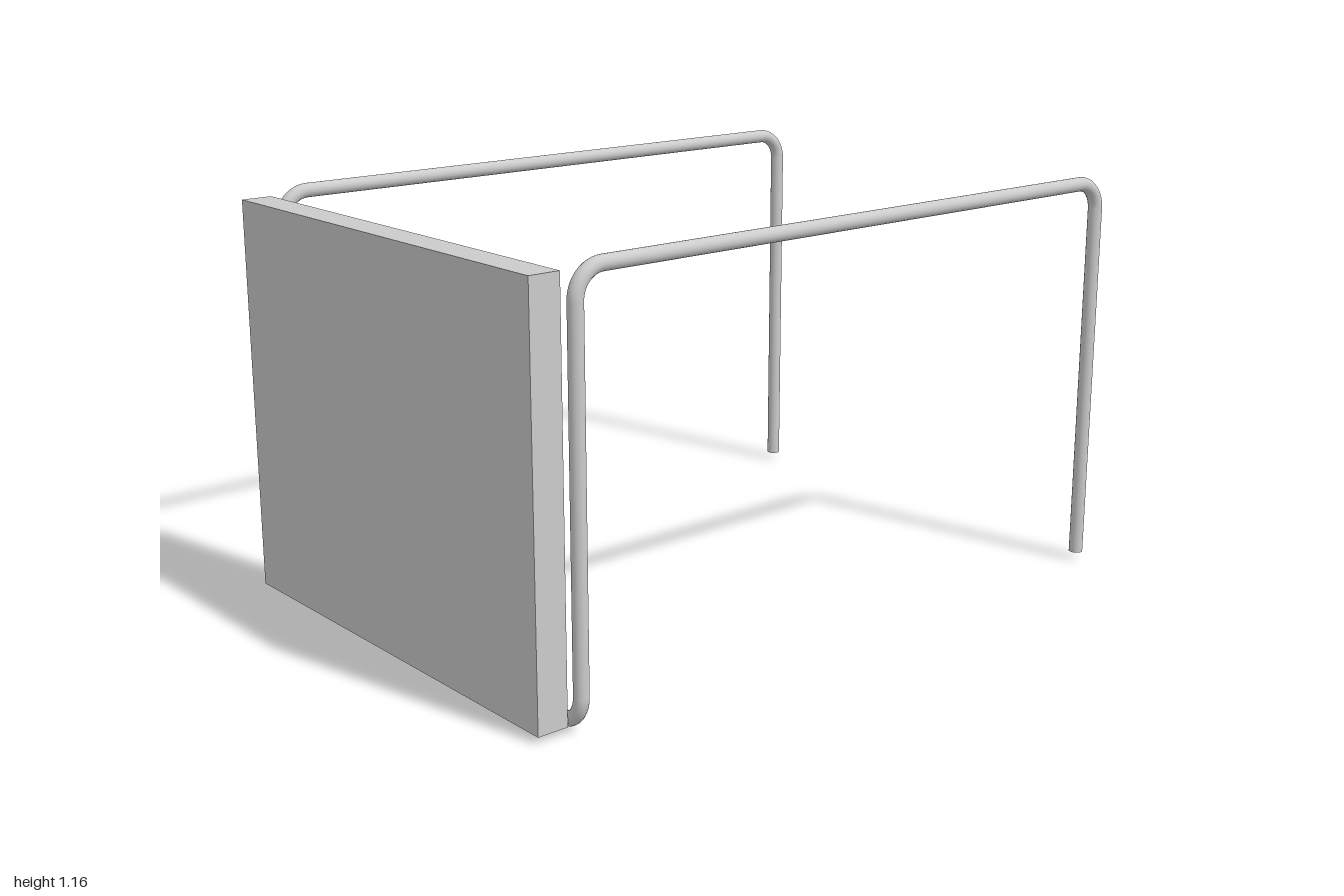
import * as THREE from 'three';
import { mergeGeometries } from 'three/addons/utils/BufferGeometryUtils.js';

const TUBE_R = 0.02, BEND_R = 0.078, SIDES = 24;

// Round rod through the corner points, with circular bends and flat end caps
function bentRod(points) {
  const parts = [];
  const sweep = (curve, segments) =>
    parts.push(new THREE.TubeGeometry(curve, segments, TUBE_R, SIDES, false));
  const cap = (at, direction) => {
    const disc = new THREE.CircleGeometry(TUBE_R, SIDES);
    disc.applyQuaternion(new THREE.Quaternion().setFromUnitVectors(new THREE.Vector3(0, 0, 1), direction));
    parts.push(disc.translate(at.x, at.y, at.z));
  };
  const toward = (a, b) => b.clone().sub(a).normalize();
  const last = points.length - 1;
  const k = BEND_R * (1 - 0.5523);

  let start = points[0];
  for (let i = 1; i < last; i++) {
    const p = points[i];
    const back = toward(p, points[i - 1]), ahead = toward(p, points[i + 1]);
    const a = p.clone().addScaledVector(back, BEND_R);
    const b = p.clone().addScaledVector(ahead, BEND_R);
    sweep(new THREE.LineCurve3(start, a), 1);
    sweep(new THREE.CubicBezierCurve3(a, p.clone().addScaledVector(back, k),
      p.clone().addScaledVector(ahead, k), b), 12);
    start = b;
  }
  sweep(new THREE.LineCurve3(start, points[last]), 1);
  cap(points[0], toward(points[1], points[0]));
  cap(points[last], toward(points[last - 1], points[last]));
  return mergeGeometries(parts);
}

export function createModel() {
  const model = new THREE.Group();
  model.name = 'panelStand';
  const material = new THREE.MeshStandardMaterial({ color: 0xcccccc });

  // One continuous rod: rear leg, top rail, front upright, bottom bar, and mirrored back
  const X = 0.665, TOP = 1.143, BOTTOM = 0.022, FRONT = 0.89, REAR = -0.98;
  const half = (x) => [[x, 0.025, REAR], [x, TOP, REAR], [x, TOP, FRONT], [x, BOTTOM, FRONT]]
    .map((p) => new THREE.Vector3(...p));
  const frame = new THREE.Mesh(bentRod([...half(-X), ...half(X).reverse()]), material);
  frame.name = 'tubeFrame';
  model.add(frame);

  // Front panel, flush with the frame's right edge
  const panel = new THREE.Mesh(new THREE.BoxGeometry(1.325, 1.115, 0.088), material);
  panel.name = 'frontPanel';
  panel.position.set(-0.0235, 0.5765, 0.956);
  model.add(panel);

  return model;
}
